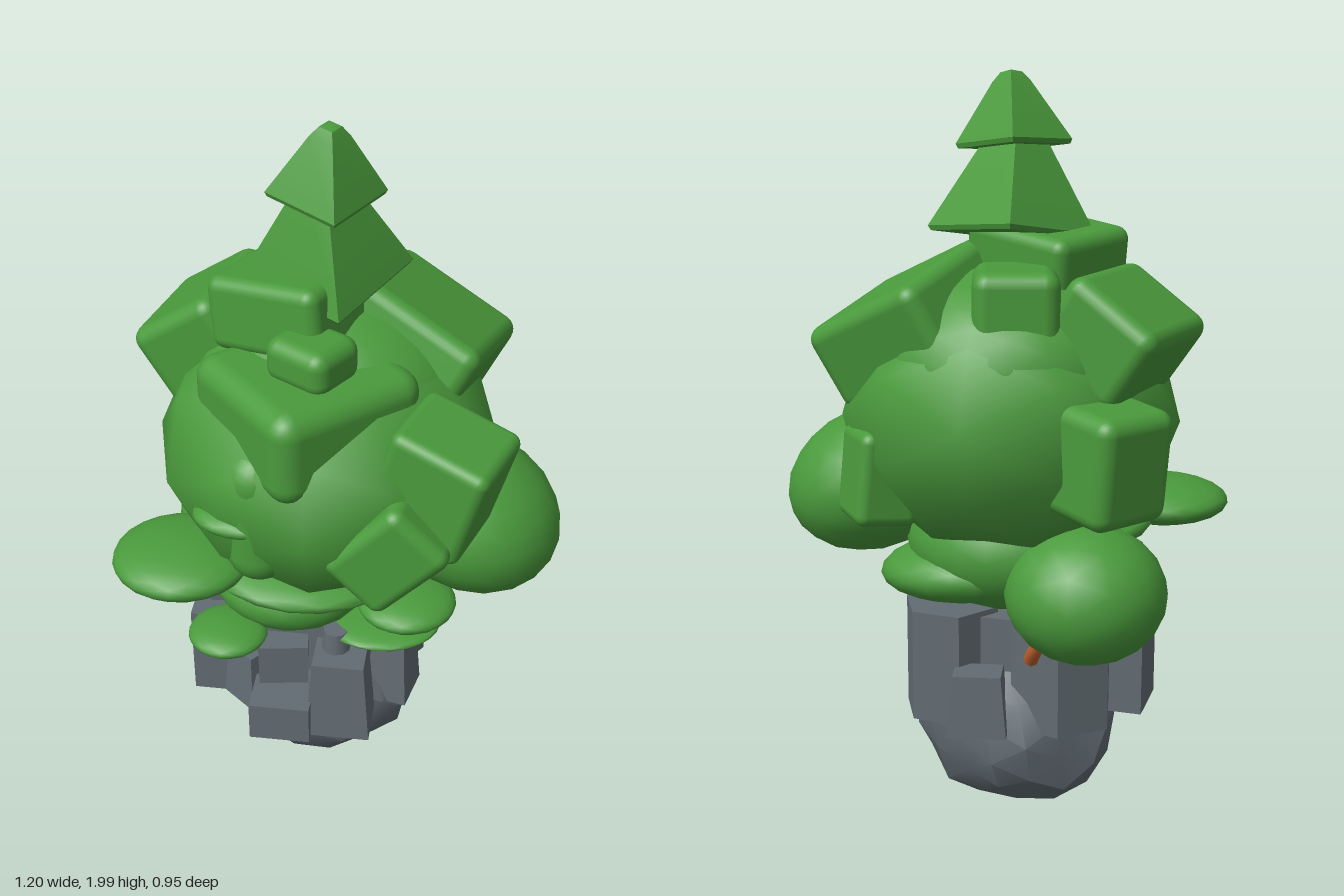
import * as THREE from 'three';
import { toCreasedNormals } from 'three/addons/utils/BufferGeometryUtils.js';
import { RoundedBoxGeometry } from 'three/addons/geometries/RoundedBoxGeometry.js';

export function createModel() {
  const model = new THREE.Group();
  const material = (name, color) => Object.assign(new THREE.MeshStandardMaterial({ color }), { name });
  const leaf = material('leafGreen', 0x4a9a3c);
  const stone = material('stoneGrey', 0x626c73);
  const bark = material('barkOrange', 0xc0622e);

  const add = (name, geometry, mat, pos, rot = [0, 0, 0], scale = [1, 1, 1]) => {
    const mesh = new THREE.Mesh(geometry, mat);
    mesh.name = name;
    mesh.position.set(...pos);
    mesh.rotation.set(...rot);
    mesh.scale.set(...scale);
    model.add(mesh);
  };

  // Pointed crown: two square pyramids with rounded tips and softened rims
  const tier = (name, pos, rot, r, h) => {
    const profile = [[0, -h / 2], [r * 0.96, -h / 2], [r, -h / 2 + 0.012], [0.05, h / 2 - 0.03],
      [0.028, h / 2 - 0.006], [0, h / 2]].map(([x, y]) => new THREE.Vector2(x, y));
    add(name, toCreasedNormals(new THREE.LatheGeometry(profile, 4), 0.6), leaf, pos, rot);
  };
  tier('crownTip', [-0.035, 1.9, 0.018], [0.14, 0.26, -0.08], 0.152, 0.195);
  tier('crownTier', [-0.045, 1.74, 0.005], [0.19, 0.26, 0], 0.22, 0.33);

  // Rounded leaf blocks: name, position, size, rotation, corner radius
  const blocks = [
    ['crownBlock', [-0.13, 1.51, 0.02], [0.33, 0.2, 0.3], [-0.06, -0.42, 0.1], 0.035],
    ['backCrownBlock', [-0.11, 1.42, -0.21], [0.22, 0.2, 0.26], [0, 0.3, 0], 0.04],
    ['smallFrontBlock', [-0.05, 1.465, 0.215], [0.19, 0.12, 0.17], [0, -0.55, 0], 0.04],
    ['leftShoulderBlock', [0.185, 1.35, -0.13], [0.39, 0.24, 0.41], [-0.25, -0.22, -0.5], 0.04],
    ['rightShoulderBlock', [-0.36, 1.345, -0.12], [0.28, 0.24, 0.36], [0, -0.22, 0.6], 0.04],
    ['rightBackBlock', [-0.37, 1.06, -0.3], [0.24, 0.29, 0.24], [0, -0.6, 0.1], 0.04],
    ['frontBrowBlock', [-0.07, 1.295, 0.175], [0.44, 0.26, 0.43], [0, 0.74, 0], 0.06],
    ['frontBodyBlock', [-0.13, 1.07, 0.15], [0.46, 0.4, 0.42], [0, 0.62, 0], 0.09],
    ['leftFrontBlock', [0.285, 1.18, 0.28], [0.27, 0.3, 0.25], [0, -0.33, -0.28], 0.03],
    ['leftLowerBlock', [0.17, 1.02, 0.35], [0.21, 0.28, 0.22], [0, -0.1, -0.75], 0.035],
    ['leftBackBlock', [0.24, 0.97, -0.27], [0.17, 0.25, 0.18], [0, 0.7, 0.1], 0.03],
  ];
  for (const [name, pos, size, rot, r] of blocks) add(name, new RoundedBoxGeometry(...size, 3, r), leaf, pos, rot);

  // Large leaf masses with faceted outlines
  add('foliageCore', new THREE.IcosahedronGeometry(1, 1), leaf, [-0.04, 1.1, 0], [0.08, 0, 0], [0.46, 0.39, 0.478]);
  add('upperFoliage', new THREE.IcosahedronGeometry(1, 3), leaf, [-0.04, 1.24, -0.05], [0, 0, 0], [0.38, 0.27, 0.36]);

  // Puffs and flat pads: name, position, radii, rotation
  const puff = new THREE.IcosahedronGeometry(1, 3);
  const masses = [
    ['leftPuff', [0.35, 0.885, 0], [0.26, 0.2, 0.255], [0, 0, -0.4]],
    ['rightBackPuff', [-0.3, 0.67, -0.2], [0.215, 0.185, 0.21]],
    ['rightPad', [-0.41, 0.82, 0.23], [0.19, 0.062, 0.18]],
    ['collarPad', [-0.1, 0.78, 0.05], [0.32, 0.065, 0.32], [0, 0, -0.05]],
    ['neckFoliage', [-0.05, 0.75, -0.03], [0.29, 0.19, 0.26]],
    ['lowerFoliage', [-0.14, 0.65, 0.06], [0.22, 0.12, 0.2]],
    ['lowerBackPad', [0.05, 0.68, -0.1], [0.25, 0.09, 0.18], [0, 0, -0.1]],
    ['frontPad', [-0.21, 1.05, 0.32], [0.14, 0.038, 0.1]],
    ['smallRightPad', [-0.29, 0.585, 0.25], [0.11, 0.035, 0.11]],
    ['smallFrontPad', [0.12, 0.57, 0.12], [0.17, 0.025, 0.14]],
    ['lowerLeftPad', [0.19, 0.625, 0.1], [0.14, 0.045, 0.14]],
  ];
  for (const [name, pos, radii, rot] of masses) add(name, puff, leaf, pos, rot, radii);

  // Boulder base, dented by a smooth rule, worn flat underneath and leaning outward at the left
  const rock = new THREE.IcosahedronGeometry(1, 2);
  const p = rock.attributes.position;
  const v = new THREE.Vector3();
  for (let i = 0; i < p.count; i++) {
    v.fromBufferAttribute(p, i);
    const dent = 1 + 0.08 * Math.sin(5 * v.x + 2 * v.y) * Math.cos(4 * v.z - 3 * v.y);
    p.setXYZ(i, v.x * dent + 0.1 * v.y, Math.max(-0.9, v.y * dent), v.z * dent);
  }
  add('boulder', toCreasedNormals(rock, 0.5), stone, [-0.055, 0.232, -0.025], [0, 0, -0.03], [0.27, 0.25, 0.24]);

  // Square stone blocks stacked on the boulder
  const stones = [
    ['stoneCore', [-0.07, 0.42, -0.01], [0.32, 0.29, 0.34], 0],
    ['rightStone', [-0.32, 0.41, 0.06], [0.2, 0.28, 0.18], 0],
    ['rightTower', [-0.345, 0.58, 0.04], [0.07, 0.12, 0.08], 0.1],
    ['frontLowStone', [-0.14, 0.33, 0.25], [0.17, 0.12, 0.17], 0],
    ['frontStep', [-0.15, 0.44, 0.17], [0.14, 0.16, 0.12], 0.15],
  ];
  for (const [name, pos, size, yaw] of stones) add(name, new THREE.BoxGeometry(...size), stone, pos, [0, yaw, 0]);

  // Six-sided columns at the back
  const column = toCreasedNormals(new THREE.CylinderGeometry(1, 1, 1, 6), 0.4);
  add('leftBackColumn', column, stone, [0.095, 0.425, -0.12], [0, 0.45, 0], [0.135, 0.31, 0.135]);
  add('rightBackColumn', column, stone, [-0.21, 0.42, -0.1], [0, 0.2, 0], [0.15, 0.3, 0.15]);

  // Tapered stones leaning around the outside
  const wedge = toCreasedNormals(new THREE.CylinderGeometry(0.57, 0.707, 1, 4).rotateY(Math.PI / 4), 0.4);
  const wedges = [
    ['frontWedge', [0.02, 0.395, 0.23], [0.18, 0.25, 0.15], 0],
    ['leftWedge', [0.155, 0.37, 0.07], [0.14, 0.2, 0.12], 1.35],
    ['backWedge', [-0.02, 0.355, -0.25], [0.16, 0.17, 0.12], 0.2],
    ['rightWedge', [-0.25, 0.36, 0.14], [0.14, 0.18, 0.12], -0.7],
  ];
  for (const [name, pos, size, yaw] of wedges) add(name, wedge, stone, pos, [0, yaw, 0], size);
  add('stonePeg', new THREE.CylinderGeometry(0.035, 0.043, 0.09, 10), stone, [0.005, 0.54, 0.2]);

  // Forked twigs beneath the leaves
  const twig = (name, ...points) => {
    const curve = new THREE.CatmullRomCurve3(points.map((q) => new THREE.Vector3(...q)));
    add(name, new THREE.TubeGeometry(curve, 8, 0.02, 7), bark, [0, 0, 0]);
  };
  twig('leftTwig', [0.1, 0.49, 0.06], [0.14, 0.505, 0.065], [0.17, 0.55, 0.075], [0.2, 0.62, 0.1]);
  twig('leftTwigFork', [0.13, 0.5, 0.06], [0.16, 0.53, 0.035], [0.18, 0.57, 0.01]);
  twig('rightBackTwig', [-0.16, 0.48, -0.23], [-0.18, 0.52, -0.26], [-0.21, 0.58, -0.28]);

  return model;
}
